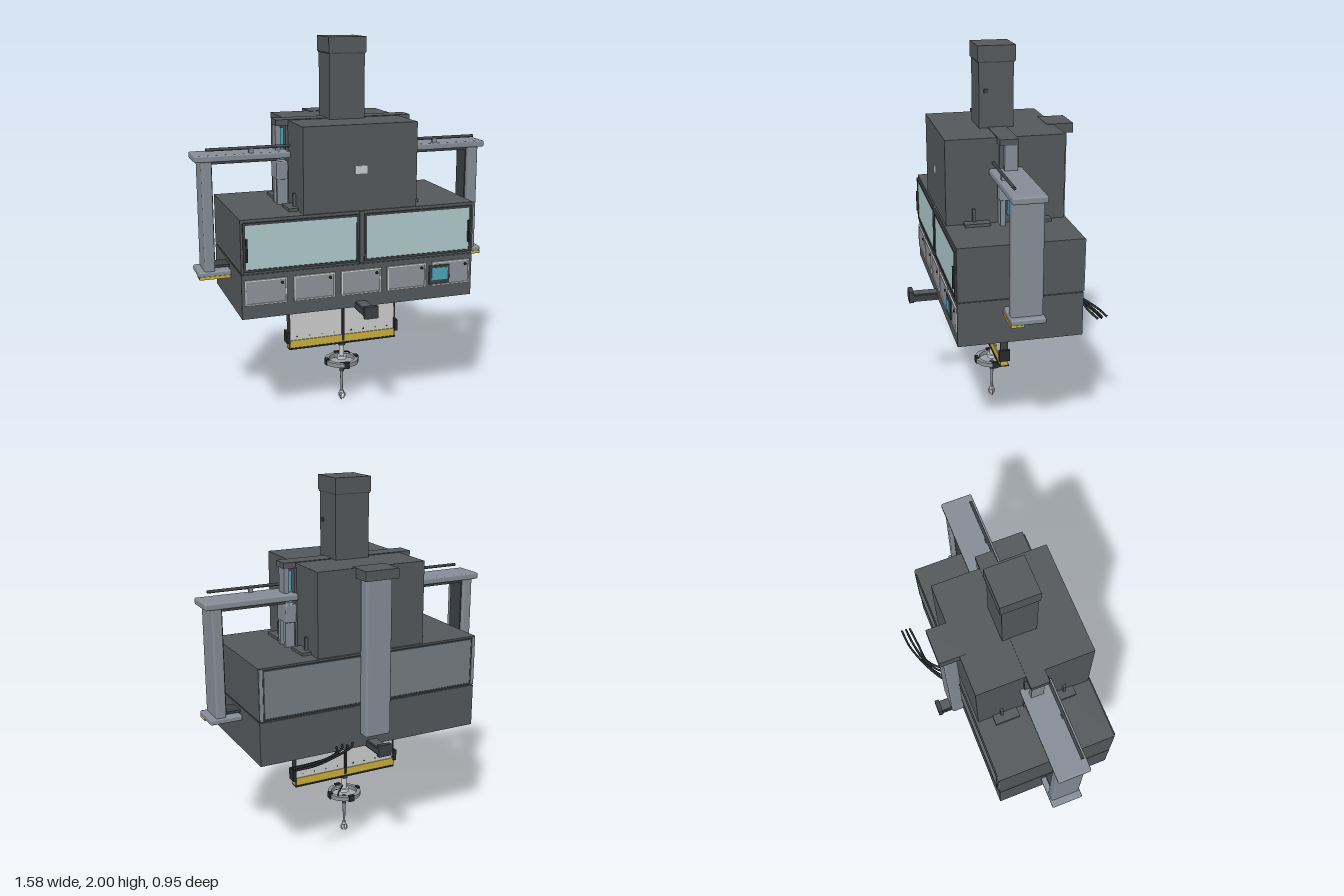
import * as THREE from 'three';
import { RoundedBoxGeometry } from 'three/addons/geometries/RoundedBoxGeometry.js';

const mat = (color) => new THREE.MeshStandardMaterial({ color });
const M = {
  dark: mat(0x54585b), black: mat(0x26282b), steel: mat(0x858c96), silver: mat(0xcccccc),
  panel: mat(0xbcbebd), door: mat(0x8d9298), glass: mat(0xadc8ca), backGlass: mat(0x747b7f),
  blue: mat(0x4aa3b5), yellow: mat(0xc9ae3c), edge: mat(0x3c4043),
};

export function createModel() {
  const root = new THREE.Group();
  const add = (name, geo, m, x = 0, y = 0, z = 0, parent = root) => {
    const mesh = new THREE.Mesh(geo, M[m]);
    mesh.name = name;
    mesh.position.set(x, y, z);
    parent.add(mesh);
    return mesh;
  };
  // box given by its limits on each axis; a radius rounds the edges
  const box = (name, m, x0, x1, y0, y1, z0, z1, parent = root, r = 0) => {
    const s = [x1 - x0, y1 - y0, z1 - z0];
    const geo = r ? new RoundedBoxGeometry(...s, 2, r) : new THREE.BoxGeometry(...s);
    return add(name, geo, m, (x0 + x1) / 2, (y0 + y1) / 2, (z0 + z1) / 2, parent);
  };
  const rod = (name, m, r, y0, y1, x = 0, z = 0.02, parent = root, r2 = r) =>
    add(name, new THREE.CylinderGeometry(r2, r, y1 - y0, 20), m, x, (y0 + y1) / 2, z, parent);
  // rectangular frame facing z, made from an outline with a hole
  const frame = (name, m, x0, x1, y0, y1, z, t, depth, parent = root) => {
    const s = new THREE.Shape([[x0, y0], [x1, y0], [x1, y1], [x0, y1]].map((p) => new THREE.Vector2(...p)));
    s.holes.push(new THREE.Path([[x0 + t, y0 + t], [x0 + t, y1 - t], [x1 - t, y1 - t], [x1 - t, y0 + t]]
      .map((p) => new THREE.Vector2(...p))));
    return add(name, new THREE.ExtrudeGeometry(s, { depth, bevelEnabled: false }), m, 0, 0, z, parent);
  };

  // housing
  box('lowerHousing', 'dark', -0.622, 0.622, 0.65, 0.877, -0.3, 0.325);
  box('housingSeam', 'edge', -0.618, 0.618, 0.877, 0.885, -0.296, 0.321);
  box('upperHousing', 'dark', -0.622, 0.622, 0.885, 1.155, -0.3, 0.325);
  box('topHousing', 'dark', -0.3, 0.3, 1.155, 1.588, -0.287, 0.317);
  box('label', 'silver', -0.032, 0.032, 1.343, 1.383, 0.317, 0.322);
  box('tower', 'dark', -0.094, 0.094, 1.588, 1.925, -0.073, 0.105);
  box('towerCap', 'dark', -0.1, 0.1, 1.922, 2, -0.083, 0.112);
  box('towerCapSeam', 'edge', -0.097, 0.097, 1.916, 1.922, -0.078, 0.108);
  box('towerButton', 'edge', 0.094, 0.1, 1.765, 1.785, 0.06, 0.08);
  box('topCrossbar', 'dark', -0.365, 0.365, 1.562, 1.592, -0.035, 0.06);

  // front windows, doors and back window
  for (const s of [-1, 1]) {
    const a = s < 0 ? -0.603 : 0.023, b = s < 0 ? -0.023 : 0.603;
    box('frontWindow', 'glass', a, b, 0.9, 1.132, 0.32, 0.329);
    frame('windowFrame', 'edge', a - 0.008, b + 0.008, 0.892, 1.14, 0.325, 0.012, 0.009);
    box('windowHandle', 'black', s * 0.595 - 0.005, s * 0.595 + 0.005, 0.945, 1.06, 0.329, 0.342);
    box('cornerPost', 'steel', s * 0.61 - 0.01, s * 0.61 + 0.01, 0.885, 1.15, -0.304, -0.285);
  }
  box('windowDivider', 'dark', -0.012, 0.012, 0.885, 1.155, 0.325, 0.335);
  box('backWindow', 'backGlass', -0.596, 0.596, 0.895, 1.14, -0.304, -0.295);
  frame('backWindowFrame', 'edge', -0.602, 0.602, 0.888, 1.146, -0.307, 0.008, 0.007);
  for (let i = -2; i <= 2; i++) {
    const x = i * 0.25;
    box('door', 'door', x - 0.1, x + 0.1, 0.728, 0.842, 0.322, 0.329);
    frame('doorFrame', 'silver', x - 0.108, x + 0.108, 0.72, 0.85, 0.325, 0.007, 0.008);
    const knob = add('doorKnob', new THREE.CylinderGeometry(0.007, 0.007, 0.01, 14), 'black', x + 0.083, 0.825, 0.333);
    knob.rotation.x = Math.PI / 2;
  }
  box('controlBox', 'edge', 0.375, 0.492, 0.73, 0.832, 0.325, 0.336, root, 0.004);
  box('controlScreen', 'blue', 0.388, 0.479, 0.754, 0.82, 0.33, 0.339);

  // side arms with rails, mirrored
  for (const s of [-1, 1]) {
    const arm = new THREE.Group();
    arm.name = s > 0 ? 'leftArm' : 'rightArm';
    root.add(arm);
    const side = (name, m, x0, x1, y0, y1, z0, z1, r) =>
      box(name, m, Math.min(s * x0, s * x1), Math.max(s * x0, s * x1), y0, y1, z0, z1, arm, r);
    side('armTopPlate', 'steel', 0.3, 0.79, 1.402, 1.436, -0.067, 0.1, 0.008);
    side('armColumn', 'steel', 0.703, 0.757, 0.835, 1.41, -0.06, 0.095, 0.01);
    side('armFoot', 'steel', 0.622, 0.79, 0.813, 0.842, -0.067, 0.1, 0.008);
    side('armFootStripe', 'yellow', 0.625, 0.787, 0.803, 0.818, 0.04, 0.103);
    side('armUpperGuide', 'edge', 0.36, 0.705, 1.385, 1.397, -0.04, 0.06);
    side('armLowerGuide', 'edge', 0.622, 0.705, 0.85, 0.862, -0.04, 0.06);
    side('armInnerStrip', 'edge', 0.697, 0.704, 0.86, 1.39, -0.04, 0.06);
    const rail = add('guideRail', new THREE.CylinderGeometry(0.008, 0.008, 0.43, 14), 'edge', s * 0.515, 1.462, 0.077, arm);
    rail.rotation.z = Math.PI / 2;
    side('railSupport', 'steel', 0.49, 0.512, 1.43, 1.458, 0.068, 0.086);

    // drive between arm and top housing
    side('driveBackPlate', 'blue', 0.3, 0.335, 1.2, 1.545, -0.01, 0.012);
    side('driveBracket', 'steel', 0.335, 0.362, 1.43, 1.565, -0.03, 0.035);
    side('driveSpine', 'dark', 0.298, 0.312, 1.155, 1.565, -0.045, 0.05);
    side('driveMotor', 'steel', 0.305, 0.365, 1.285, 1.38, -0.05, 0.06, 0.006);
    for (const z of [-0.035, 0.03])
      side('driveColumn', 'steel', 0.31, 0.362, 1.155, 1.29, z, z + 0.025);
    for (const z of [[-0.21, -0.08], [0.1, 0.23]])
      side('mountPlate', 'dark', 0.3, 0.35, 1.155, 1.17, ...z);
    for (const z of [-0.17, 0.17])
      side('mountTab', 'dark', 0.3, 0.315, 1.165, 1.235, z, z + 0.015);
  }

  // rear column
  box('rearColumn', 'steel', -0.072, 0.072, 0.72, 1.55, -0.366, -0.295, root, 0.012);
  box('rearColumnCap', 'dark', -0.092, 0.092, 1.54, 1.59, -0.39, -0.25);

  // beam under the housing
  box('underBeam', 'dark', -0.027, 0.027, 0.637, 0.68, -0.43, 0.465);
  for (const s of [-1, 1]) {
    box('beamLip', 'edge', s * 0.027 - 0.006, s * 0.027 + 0.006, 0.645, 0.674, -0.425, 0.46);
    const z = 0.02 + s * 0.447;
    box('beamEnd', 'edge', -0.036, 0.036, 0.635, 0.698, z - 0.012, z + 0.012);
    const c = 0.02 + s * 0.055;
    box('beamCarriage', 'silver', -0.05, 0.05, 0.592, 0.64, c - 0.02, c + 0.02, root, 0.005);
    box('carriageBlock', 'steel', -0.036, 0.036, 0.61, 0.65, c - 0.03, c + 0.03);
  }

  // hanging panel
  box('hangingPanel', 'panel', -0.302, 0.302, 0.35, 0.652, 0.005, 0.037);
  box('warningStripe', 'yellow', -0.307, 0.307, 0.35, 0.393, 0, 0.042);
  box('panelBottomEdge', 'black', -0.307, 0.307, 0.343, 0.351, -0.005, 0.047);
  box('panelCentreGuide', 'black', -0.007, 0.007, 0.36, 0.62, -0.005, 0.047);
  for (const s of [-1, 1]) {
    box('panelSideTrim', 'edge', s * 0.303 - 0.004, s * 0.303 + 0.004, 0.35, 0.652, 0, 0.042);
    box('panelClamp', 'black', s * 0.312 - 0.009, s * 0.312 + 0.009, 0.38, 0.443, -0.008, 0.05);
    for (let i = 0; i < 4; i++)
      box('panelScrew', 'edge', s * (0.05 + i * 0.07) - 0.003, s * (0.05 + i * 0.07) + 0.003, 0.41, 0.416, 0.002, 0.04);
  }
  box('panelSensor', 'steel', 0.058, 0.068, 0.62, 0.652, 0.037, 0.055);

  // spindle, ring and gripper
  rod('spindleCollar', 'edge', 0.02, 0.328, 0.345);
  rod('spindle', 'silver', 0.014, 0.262, 0.33);
  rod('ringHub', 'silver', 0.026, 0.245, 0.265);
  const ringProfile = [[0.07, 0.225], [0.092, 0.225], [0.092, 0.248], [0.07, 0.248], [0.07, 0.225]];
  const ring = add('ring', new THREE.LatheGeometry(ringProfile.map((p) => new THREE.Vector2(...p)), 48)
    .toNonIndexed(), 'door', 0, 0, 0.02);
  ring.geometry.computeVertexNormals();
  for (let i = 0; i < 4; i++) {
    const a = (i * Math.PI) / 2;
    const clamp = box('ringClamp', 'black', -0.009, 0.009, 0.219, 0.255, -0.016, 0.016);
    clamp.position.set(Math.cos(a) * 0.086, 0.237, 0.02 + Math.sin(a) * 0.086);
    clamp.rotation.y = -a;
  }
  const tube = (name, pts, r, m) => add(name, new THREE.TubeGeometry(
    new THREE.CatmullRomCurve3(pts.map((p) => new THREE.Vector3(...p))), 32, r, 8), m);
  tube('ringCable', [[0.008, 0.285, 0.02], [0.03, 0.275, 0.0], [0.055, 0.262, -0.02], [0.065, 0.248, -0.035]], 0.004, 'black');
  rod('toolSleeve', 'edge', 0.012, 0.17, 0.218);
  rod('toolShaft', 'steel', 0.006, 0.055, 0.175, 0, 0.02, root, 0.009);
  rod('gripperHead', 'silver', 0.012, 0.037, 0.055);
  for (let i = 0; i < 3; i++) {
    const a = (i * 2 * Math.PI) / 3, c = Math.cos(a), d = Math.sin(a);
    tube('gripperFinger', [[0.008, 0.045], [0.018, 0.032], [0.018, 0.018], [0.007, 0.004]]
      .map(([r, y]) => [r * c, y, 0.02 + r * d]), 0.004, 'silver');
  }

  // trailing cables
  for (let i = 0; i < 4; i++) {
    const z = [-0.42, -0.443, -0.443, -0.468][i], y = 0.672 + (i % 2) * 0.008;
    tube('cable', [[0.2 - i * 0.032, y, -0.28], [0.225 - i * 0.028, y, -0.34], [0.29 - i * 0.02, y, -0.395],
      [0.4, y - 0.006, z + 0.012], [0.515, y - 0.003, z]], 0.006, 'black');
  }
  return root;
}
